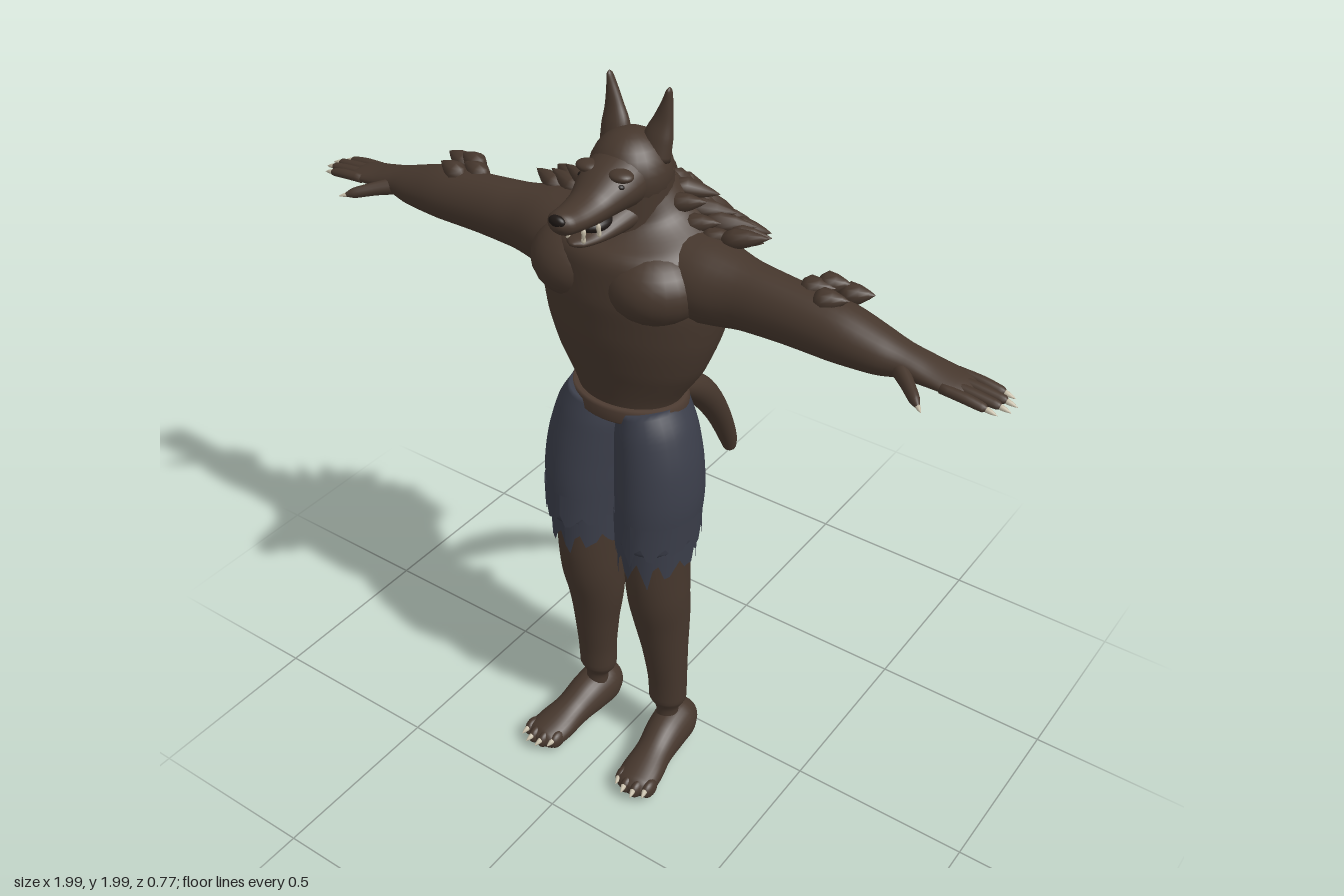
import * as THREE from 'three';

const mat = (name, color, side = THREE.FrontSide) => {
  const m = new THREE.MeshStandardMaterial({ color, side });
  m.name = name;
  return m;
};

export function createModel() {
  const fur = mat('brown fur', 0x46372d);
  const beltMat = mat('belt leather', 0x4c3b31);
  const cloth = mat('dark cloth', 0x3a3d49, THREE.DoubleSide);
  const ivory = mat('ivory', 0xc4bba6);
  const dark = mat('dark', 0x1d1714);
  const root = new THREE.Group();
  const V3 = (x, y, z) => new THREE.Vector3(x, y, z);

  const add = (name, geo, material, parent = root) => {
    const m = new THREE.Mesh(geo, material);
    m.name = name;
    parent.add(m);
    return m;
  };

  // Smooth body through stations [x, y, z, half width along hint, half width across]
  function loft(stations, hint, rows = stations.length * 4, sides = 28) {
    const path = new THREE.CatmullRomCurve3(stations.map(s => V3(s[0], s[1], s[2])));
    const size = new THREE.CatmullRomCurve3(stations.map(s => V3(s[3], s[4], 0)));
    const pos = [], idx = [];
    for (let i = 0; i <= rows; i++) {
      const p = path.getPoint(i / rows), r = size.getPoint(i / rows), T = path.getTangent(i / rows);
      const V = T.clone().cross(hint).normalize(), U = V.clone().cross(T);
      for (let j = 0; j < sides; j++) {
        const a = j / sides * Math.PI * 2;
        const q = p.clone().addScaledVector(U, Math.cos(a) * r.x).addScaledVector(V, Math.sin(a) * r.y);
        pos.push(q.x, q.y, q.z);
        if (i < rows) {
          const k = (j + 1) % sides, A = i * sides + j, B = i * sides + k;
          idx.push(A, B, B + sides, A, B + sides, A + sides);
        }
      }
    }
    const c0 = pos.length / 3, last = rows * sides;
    for (const t of [0, 1]) pos.push(...path.getPoint(t).toArray());
    for (let j = 0; j < sides; j++) {
      const k = (j + 1) % sides;
      idx.push(c0, k, j, c0 + 1, last + j, last + k);
    }
    const g = new THREE.BufferGeometry();
    g.setAttribute('position', new THREE.Float32BufferAttribute(pos, 3));
    g.setIndex(idx);
    g.computeVertexNormals();
    return g;
  }
  const X = V3(1, 0, 0), Z = V3(0, 0, 1), Y = V3(0, 1, 0);

  const ball = new THREE.SphereGeometry(1, 24, 16);
  const blob = (name, p, r, material = fur, parent = root) => {
    const m = add(name, ball, material, parent);
    m.position.set(...p);
    m.scale.set(...r);
    return m;
  };

  // Teardrop used for tufts, claws and teeth
  const drop = new THREE.LatheGeometry(
    [[0, -0.25], [0.7, -0.1], [1, 0.15], [0.75, 0.5], [0.35, 0.8], [0, 1]].map(p => new THREE.Vector2(...p)), 10);
  const spike = (name, p, dir, radius, length, material, parent = root) => {
    const m = add(name, drop, material, parent);
    m.position.set(...p);
    m.quaternion.setFromUnitVectors(Y, V3(...dir).normalize());
    m.scale.set(radius, length, radius);
  };

  // Torso and neck
  add('torso', loft([
    [0, 1.15, .11, .13, .1], [0, 1.2, .11, .14, .108], [0, 1.3, .1, .2, .142], [0, 1.4, .09, .235, .172],
    [0, 1.5, .077, .25, .193], [0, 1.6, .07, .24, .192], [0, 1.66, .068, .2, .155],
    [0, 1.71, .075, .13, .11], [0, 1.76, .09, .095, .09]], X, 44, 40), fur);
  add('neck', loft([[0, 1.62, .08, .12, .12], [0, 1.7, .09, .1, .105], [0, 1.8, .095, .098, .095]], X), fur);

  // Head, snout and jaw
  blob('skull', [0, 1.79, .098], [.1, .102, .1]);
  add('snout', loft([
    [0, 1.795, .1, .085, .085], [0, 1.785, .19, .078, .06], [0, 1.766, .26, .055, .04],
    [0, 1.763, .32, .045, .031], [0, 1.767, .365, .036, .027], [0, 1.769, .385, .014, .01]], X), fur);
  add('lowerJaw', loft([
    [0, 1.72, .12, .078, .045], [0, 1.705, .2, .06, .035], [0, 1.695, .27, .04, .018],
    [0, 1.697, .315, .025, .011], [0, 1.698, .33, .006, .004]], X), fur);
  blob('mouth', [0, 1.72, .24], [.04, .022, .05], dark);
  blob('nose', [0, 1.778, .376], [.022, .014, .012], dark);

  // Belt and tail
  add('belt', new THREE.LatheGeometry(
    [[.13, 1.165], [.153, 1.163], [.16, 1.17], [.16, 1.2], [.153, 1.207], [.13, 1.205]]
      .map(p => new THREE.Vector2(...p)), 40), beltMat).scale.z = .77;
  root.getObjectByName('belt').position.z = .112;
  add('tail', loft([
    [0, 1.13, .03, .015, .015], [0, 1.12, -.03, .03, .025], [0, 1.08, -.11, .043, .038],
    [0, 1.01, -.2, .045, .042], [0, .89, -.29, .038, .034], [0, .76, -.355, .027, .025],
    [0, .72, -.366, .019, .018], [0, .705, -.368, .004, .004]], X), fur);

  // Ragged trouser hem: a flared open tube with a jagged lower edge
  function hem(top, bottom, jag, cx, rTop, rBottom, phase) {
    const n = 44, g = new THREE.CylinderGeometry(1, 1, 1, n, 1, true), p = g.attributes.position;
    for (let i = 0; i < p.count; i++) {
      const low = p.getY(i) < 0, r = low ? rBottom : rTop, k = i % (n + 1) % n;
      const tooth = [0, .5, 1, .45][(k + phase) % 4] * (.65 + .35 * Math.sin(k * 1.9 + phase));
      p.setXYZ(i, cx + p.getX(i) * r[0], low ? bottom + jag * (.5 - tooth) : top, .15 + p.getZ(i) * r[1]);
    }
    g.computeVertexNormals();
    return g;
  }

  for (const s of [1, -1]) {
    const side = new THREE.Group();
    side.name = s > 0 ? 'leftSide' : 'rightSide';
    root.add(side);
    const m = rows => rows.map(([x, ...r]) => [s * x, ...r]);

    // Ear, eye, brow and teeth
    add('ear', loft(m([
      [.055, 1.83, .085, .04, .03], [.06, 1.88, .075, .037, .025], [.068, 1.92, .068, .025, .018],
      [.077, 1.965, .065, .013, .013], [.082, 1.993, .066, .006, .009], [.083, 2, .066, .001, .002]]), X), fur, side);
    blob('eye', [s * .052, 1.808, .214], [.012, .008, .01], dark, side);
    blob('brow', [s * .045, 1.828, .2], [.032, .014, .025], fur, side);
    for (const [x, z, d, y] of [[.033, .325, -1, 1.742], [.04, .28, -1, 1.737], [.022, .312, 1, 1.704], [.034, .27, 1, 1.706]])
      spike('tooth', [s * x, y, z], [0, d, 0], .006, .026, ivory, side);

    // Chest and arm
    blob('chestMuscle', [s * .105, 1.555, .15], [.13, .1, .125], fur, side);
    add('arm', loft(m([
      [.1, 1.57, .08, .11, .11], [.22, 1.567, .092, .105, .104], [.33, 1.568, .1, .076, .086],
      [.45, 1.567, .105, .069, .077], [.57, 1.562, .105, .071, .071], [.68, 1.55, .105, .06, .052],
      [.74, 1.547, .103, .049, .036], [.8, 1.54, .1, .05, .026], [.87, 1.534, .1, .05, .015],
      [.9, 1.53, .1, .035, .007]]), Z), fur, side);
    [.062, .089, .116, .142].forEach((z, i) => {
      const end = [.955, .972, .97, .95][i];
      add('finger', loft(m([[.84, 1.537, z, .012, .012], [.9, 1.533, z, .014, .012],
        [end - .01, 1.527, z, .012, .01], [end, 1.526, z, .004, .004]]), Z, 10, 12), fur, side);
      spike('claw', [s * (end - .005), 1.526, z], [s, -.25, 0], .007, .03, ivory, side);
    });
    add('thumb', loft(m([[.72, 1.545, .12, .025, .022], [.77, 1.538, .165, .018, .016],
      [.81, 1.53, .203, .014, .012], [.828, 1.526, .22, .004, .004]]), Y, 12, 12), fur, side);
    spike('thumbClaw', [s * .822, 1.527, .214], [s, -.2, .9], .006, .025, ivory, side);

    // Forearm tufts
    for (const [x, y, z, l] of [[.47, 1.632, .085, .07], [.5, 1.64, .06, .065], [.55, 1.625, .05, .07], [.52, 1.632, .115, .07], [.53, 1.6, .035, .06]])
      spike('forearmTuft', [s * x, y, z], [s, .2, -.15], .028, l, fur, side);

    // Leg and foot
    add('leg', loft(m([
      [.11, .92, .15, .085, .1], [.11, .7, .15, .083, .098], [.11, .6, .145, .083, .09],
      [.11, .5, .13, .078, .08], [.117, .38, .123, .065, .063], [.122, .26, .117, .056, .052],
      [.122, .19, .116, .054, .05], [.124, .145, .12, .032, .03], [.125, .09, .12, .034, .034]]), X), fur, side);
    add('foot', loft(m([
      [.128, .07, .024, .008, .01], [.13, .072, .04, .042, .045], [.133, .075, .09, .06, .069],
      [.138, .07, .15, .058, .064], [.146, .055, .22, .053, .049], [.155, .045, .29, .06, .039],
      [.162, .04, .34, .056, .031], [.165, .04, .362, .025, .014]]), X), fur, side);
    for (const [x, z] of [[.117, .335], [.147, .352], [.178, .352], [.206, .335]]) {
      blob('toe', [s * x, .042, z - .01], [.017, .026, .03], fur, side);
      spike('toeClaw', [s * x, .052, z + .01], [s * .2, -.3, 1], .008, .026, ivory, side);
    }

    // Trouser leg with two ragged layers
    add('trouserLeg', loft(m([
      [.076, 1.185, .118, .078, .108], [.09, 1.12, .126, .1, .117], [.105, 1.03, .135, .11, .122],
      [.112, .94, .142, .112, .125], [.111, .85, .148, .105, .122], [.11, .8, .15, .095, .115]]), X), cloth, side);
    add('upperHem', hem(.9, .8, .07, s * .112, [.111, .123], [.107, .126], s + 1), cloth, side);
    add('lowerHem', hem(.85, .725, .09, s * .108, [.1, .115], [.099, .112], s + 2), cloth, side);
  }

  // Mane: rows of tufts fanning over the shoulders and back
  const mane = new THREE.Group();
  mane.name = 'mane';
  root.add(mane);
  [[1.76, .1, .09, 7], [1.72, .14, .12, 9], [1.675, .19, .155, 11], [1.62, .25, .185, 12], [1.55, .25, .195, 8]]
    .forEach(([y, rx, rz, n], row) => {
      const spread = row === 4 ? .85 : 1.5;
      for (let i = 0; i < n; i++) {
        const a = (i / (n - 1) * 2 - 1) * spread, sn = Math.sin(a), cs = Math.cos(a);
        const wob = Math.sin(i * 2.7 + row * 1.3);
        const py = row < 2 ? y - .035 * sn * sn : y + (1.665 - y) * sn * sn;
        spike('maneTuft', [sn * rx, py + wob * .008, .075 - cs * rz],
          [sn * .9, -.75 * cs + .25 * sn * sn, -cs * .75 - .15], .025, .09 + .012 * wob, fur, mane);
      }
    });
  for (const x of [-.09, 0, .09]) spike('backTuft', [x, 1.5, -.1], [x, -.9, -.5], .022, .075, fur, mane);

  return root;
}
